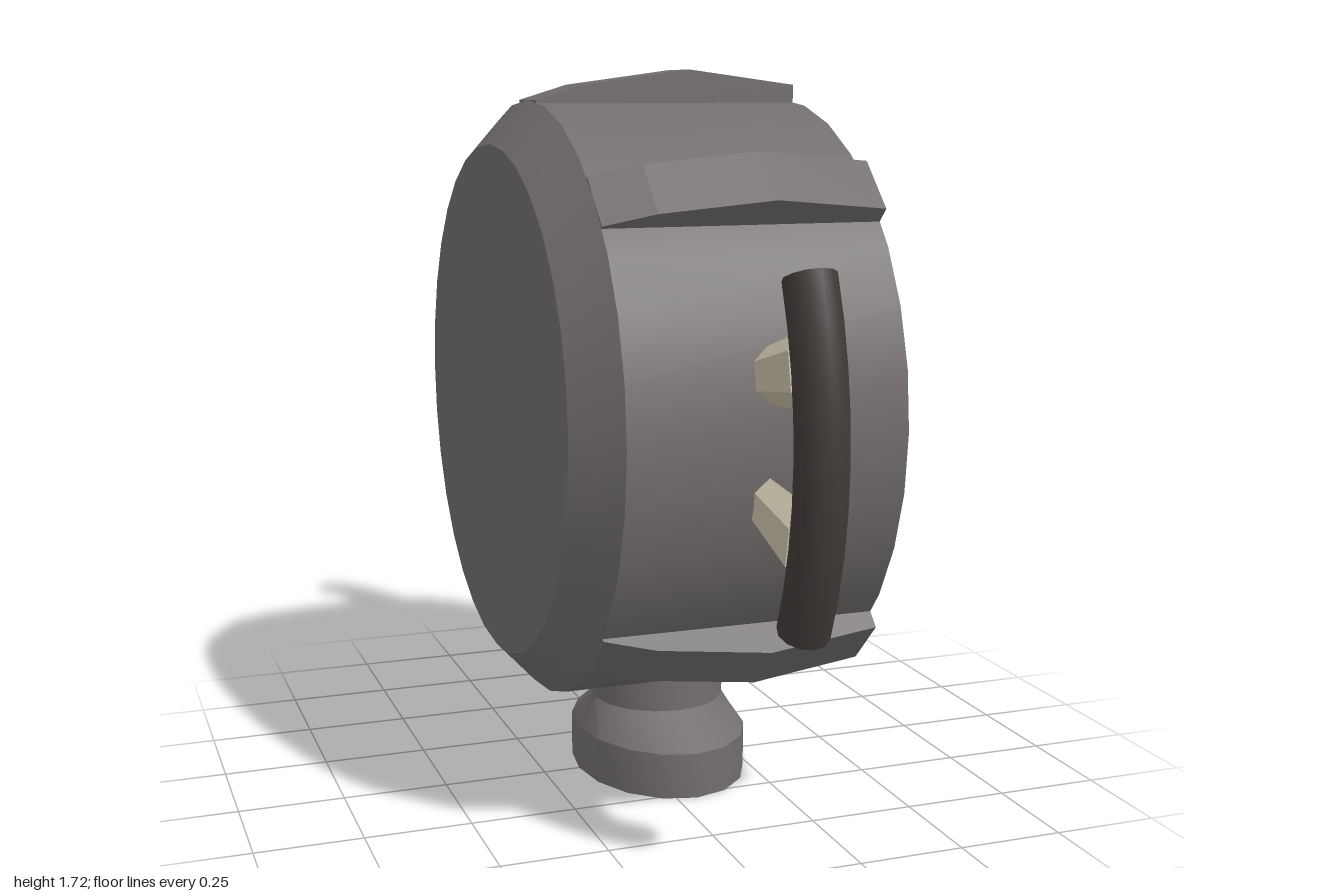
import * as THREE from 'three';
import { mergeGeometries, toCreasedNormals } from 'three/addons/utils/BufferGeometryUtils.js';

const material = (name, color) => new THREE.MeshStandardMaterial({ name, color });
const CENTRE_Y = 0.945;

export function createModel() {
  const model = new THREE.Group();
  const housingGrey = material('housing grey', 0x726e6d);
  const liningGrey = material('lining grey', 0x989090);
  const cream = material('cream', 0xcac2aa);
  const gripBlack = material('grip charcoal', 0x403b39);

  const add = (parent, name, geometry, mat) => {
    const mesh = new THREE.Mesh(geometry, mat);
    mesh.name = name;
    parent.add(mesh);
    return mesh;
  };
  // Lathe from [radius, height] pairs, sharp at profile corners
  const turned = (points, sides) => toCreasedNormals(
    new THREE.LatheGeometry(points.map(([r, h]) => new THREE.Vector2(r, h)), sides), 0.5);

  // Drum group: its axis lies along x
  const drum = new THREE.Group();
  drum.name = 'drum';
  drum.position.y = CENTRE_Y;
  model.add(drum);

  add(drum, 'housing', turned(
    [[0, -0.368], [0.6, -0.368], [0.7, -0.275], [0.7, 0.365], [0.64, 0.365]], 32
  ).rotateZ(-Math.PI / 2), housingGrey);
  add(drum, 'innerLining', turned([[0.64, 0.365], [0.59, 0.155]], 32)
    .rotateZ(-Math.PI / 2), liningGrey);
  add(drum, 'lens', new THREE.CircleGeometry(0.592, 32)
    .rotateY(Math.PI / 2).translate(0.156, 0, 0), cream);

  // Raised ribs along the drum: one on top and four on the diagonals
  const ribShape = new THREE.Shape([
    [-0.275, 0.66], [0.365, 0.66], [0.365, 0.735], [0.1, 0.77], [-0.16, 0.735], [-0.275, 0.7],
  ].map(([x, y]) => new THREE.Vector2(x, y)));
  const ribGeometry = new THREE.ExtrudeGeometry(ribShape, { depth: 0.14, bevelEnabled: false })
    .translate(0, 0, -0.07);
  for (const step of [-3, -1, 0, 1, 3]) {
    add(drum, 'rib', ribGeometry, housingGrey).rotation.x = step * Math.PI / 4;
  }

  // Curved grip with flat ends, bowed around the drum
  const arc = 0.79, bow = 0.944, tube = 0.056;
  const cap = (side) => new THREE.CircleGeometry(tube, 12)
    .rotateX(-side * Math.PI / 2).translate(bow, 0, 0).rotateZ(side * arc / 2);
  const gripGeometry = mergeGeometries([
    new THREE.TorusGeometry(bow, tube, 12, 8, arc).rotateZ(-arc / 2), cap(1), cap(-1),
  ]).rotateY(-Math.PI / 2);

  // Six-sided strut, flattened and widening outwards along z
  const strutGeometry = toCreasedNormals(
    new THREE.CylinderGeometry(0.083, 0.06, 0.22, 6)
      .scale(0.62, 1, 1)
      .rotateX(Math.PI / 2)
      .translate(0, 0, 0.79), 0.3);

  for (const side of [1, -1]) {
    const handle = new THREE.Group();
    handle.name = side > 0 ? 'frontHandle' : 'backHandle';
    handle.position.x = 0.045;
    handle.rotation.y = side > 0 ? 0 : Math.PI;
    add(handle, 'grip', gripGeometry, gripBlack);
    for (const tilt of [-0.2, 0.2]) add(handle, 'strut', strutGeometry, cream).rotation.x = tilt;
    drum.add(handle);
  }

  // Pedestal: round neck flaring to an oval foot
  const foot = new THREE.LatheGeometry([
    [0, 0], [0.207, 0], [0.207, 0.11], [0.162, 0.18], [0.162, 0.3],
  ].map(([r, h]) => new THREE.Vector2(r, h)), 16);
  const pos = foot.attributes.position;
  for (let i = 0; i < pos.count; i++) {
    if (pos.getY(i) < 0.15) pos.setZ(i, pos.getZ(i) * 0.28 / 0.207);
  }
  add(model, 'pedestal', toCreasedNormals(foot, 0.6), housingGrey).position.x = 0.047;

  return model;
}
